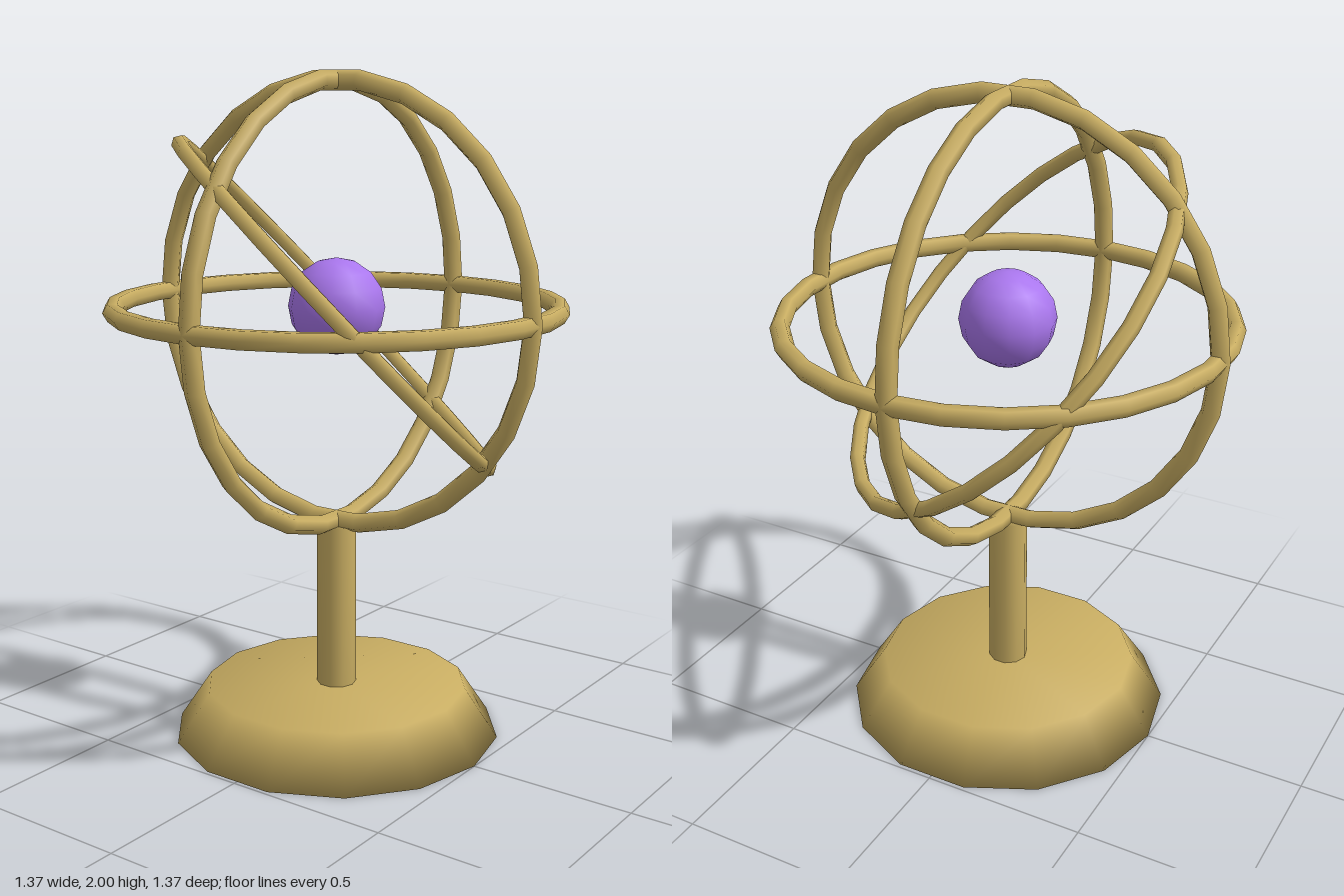
import * as THREE from 'three';
import { mergeVertices } from 'three/addons/utils/BufferGeometryUtils.js';

const CENTRE_Y = 1.32;
const RING_RADIUS = 0.655;

export function createModel() {
  const model = new THREE.Group();
  model.name = 'armillarySphere';
  const brass = new THREE.MeshStandardMaterial({ color: 0xc8ad62 });
  const purple = new THREE.MeshStandardMaterial({ color: 0xaa77ee });

  const add = (name, geometry, material, y) => {
    const mesh = new THREE.Mesh(geometry, material);
    mesh.name = name;
    mesh.position.y = y;
    model.add(mesh);
    return mesh;
  };

  // Weld the vertices so the shading runs softly over the edges
  const soften = (geometry) => {
    geometry.deleteAttribute('uv');
    geometry.deleteAttribute('normal');
    const welded = mergeVertices(geometry);
    welded.computeVertexNormals();
    return welded;
  };

  // Stand: flared foot and post
  add('base', soften(new THREE.CylinderGeometry(0.4, 0.5, 0.15, 14)), brass, 0.075);
  add('post', soften(new THREE.CylinderGeometry(0.06, 0.06, 0.53, 10)), brass, 0.39);

  // Rings, each facing along its normal
  const addRing = (name, normal, tube) => {
    const ring = add(name, new THREE.TorusGeometry(RING_RADIUS, tube, 6, 26), brass, CENTRE_Y);
    ring.quaternion.setFromUnitVectors(
      new THREE.Vector3(0, 0, 1),
      new THREE.Vector3(...normal).normalize()
    );
  };
  addRing('frontRing', [0, 0, 1], 0.029);
  addRing('sideRing', [1, 0, 0], 0.029);
  addRing('horizonRing', [0, 1, 0], 0.029);
  addRing('tiltedRing', [0.475, 0.69, 0.555], 0.024);

  // Globe floating at the centre
  add('globe', new THREE.SphereGeometry(0.144, 12, 8), purple, CENTRE_Y);

  return model;
}
